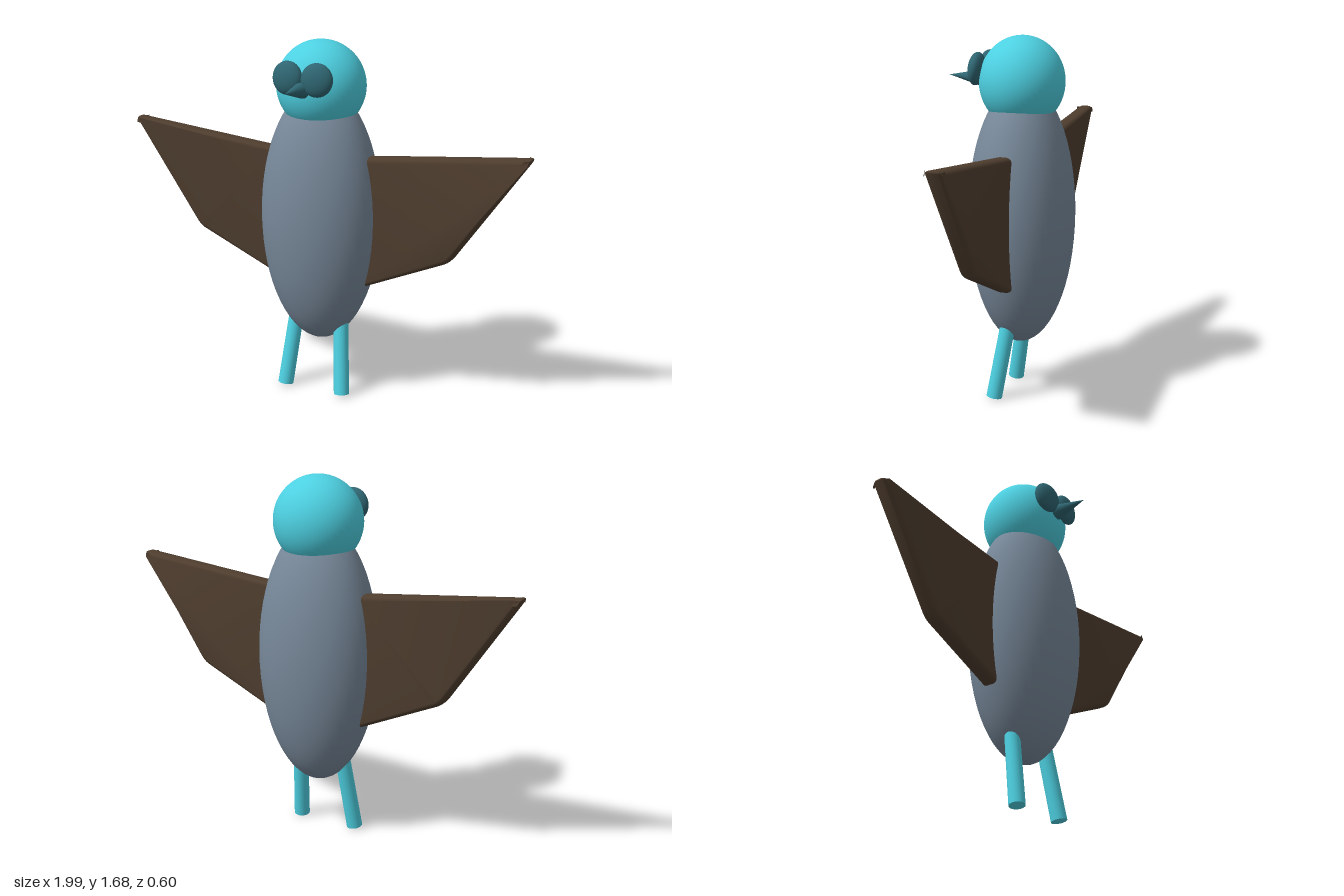
import * as THREE from 'three';
import { toCreasedNormals } from 'three/addons/utils/BufferGeometryUtils.js';

const paint = (color) => new THREE.MeshStandardMaterial({ color });
const MID_Z = -0.06; // depth of the body axis

export function createModel() {
  const model = new THREE.Group();
  const teal = paint(0x4dd0e1);
  const darkTeal = paint(0x2f6672);
  const slate = paint(0x778899);
  const brown = paint(0x4e3d2e);

  function add(name, geometry, material) {
    const mesh = new THREE.Mesh(geometry, material);
    mesh.name = name;
    model.add(mesh);
    return mesh;
  }

  function ellipsoid(name, material, position, radii) {
    const mesh = add(name, new THREE.SphereGeometry(1, 48, 32), material);
    mesh.position.set(...position);
    mesh.scale.set(...radii);
    return mesh;
  }

  // Round rod or cone running from one point to another
  function rod(name, material, from, to, r0, r1) {
    const a = new THREE.Vector3(...from);
    const b = new THREE.Vector3(...to);
    const mesh = add(name, new THREE.CylinderGeometry(r1, r0, a.distanceTo(b), 32), material);
    mesh.position.copy(a).lerp(b, 0.5);
    mesh.quaternion.setFromUnitVectors(new THREE.Vector3(0, 1, 0), b.sub(a).normalize());
    return mesh;
  }

  // Body and head
  ellipsoid('body', slate, [0, 0.86, MID_Z], [0.287, 0.61, 0.242]);
  ellipsoid('head', teal, [0, 1.472, MID_Z], [0.208, 0.208, 0.194]);

  // Beak
  rod('beak', darkTeal, [0, 1.482, 0.135], [0, 1.491, 0.296], 0.038, 0);

  for (const side of [1, -1]) {
    const label = side > 0 ? 'left' : 'right';

    // Flattened eyes
    const eye = ellipsoid(label + 'Eye', darkTeal, [side * 0.072, 1.53, 0.132], [0.074, 0.075, 0.037]);
    eye.rotation.set(-0.1, side * 0.1, 0);

    // Legs splay outward and reach forward
    rod(label + 'Leg', teal, [side * 0.15, 0.007, 0.022], [side * 0.113, 0.4, -0.042], 0.037, 0.035);

    // Rounded slab wings, rooted inside the body
    const outline = new THREE.Shape();
    outline.moveTo(side * 0.2, 1.162);
    outline.lineTo(side * 0.985, 1.239);
    outline.quadraticCurveTo(side * 1.003, 1.24, side * 0.993, 1.222);
    outline.lineTo(side * 0.665, 0.75);
    outline.quadraticCurveTo(side * 0.645, 0.722, side * 0.615, 0.71);
    outline.lineTo(side * 0.2, 0.53);
    outline.closePath();
    const wing = new THREE.ExtrudeGeometry(outline, {
      depth: 0.024,
      bevelThickness: 0.029,
      bevelSize: 0.026,
      bevelOffset: -0.026,
      bevelSegments: 6,
      curveSegments: 5,
    });
    wing.translate(0, 0, MID_Z - 0.012);
    add(label + 'Wing', toCreasedNormals(wing, 0.6), brown);
  }

  return model;
}
